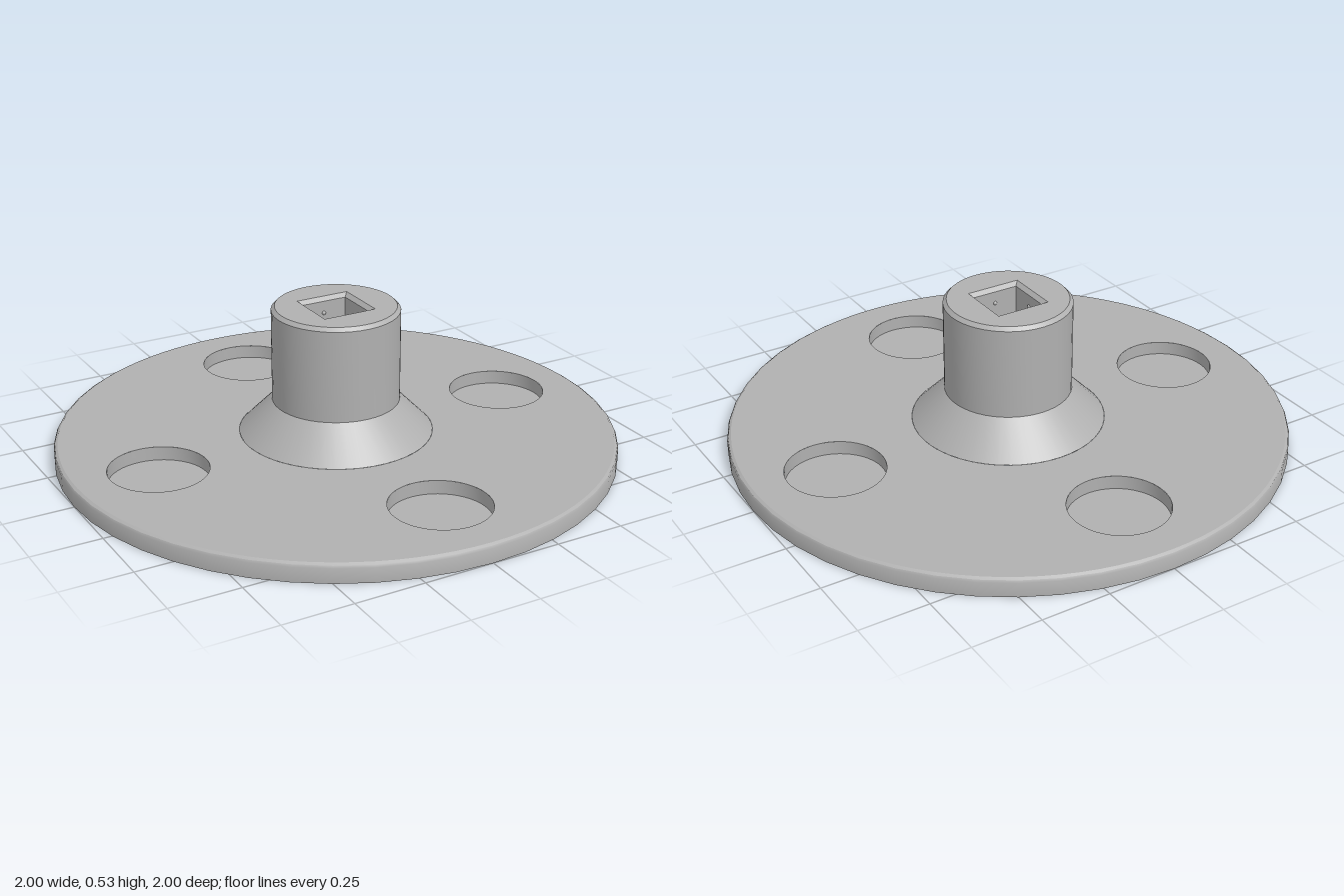
import * as THREE from 'three';
import { toCreasedNormals } from 'three/addons/utils/BufferGeometryUtils.js';

const SEG = 48;
const PLATE_TOP = 0.067, HUB_TOP = 0.533;

// Turned surface with sharp edges; profiles running downwards face the axis
function turned(profile, segments = SEG, start = 0) {
  const points = profile.map(([r, y]) => new THREE.Vector2(r, y));
  return toCreasedNormals(new THREE.LatheGeometry(points, segments, start), 0.5);
}

function circle(Type, r, x = 0, y = 0) {
  const c = new Type();
  c.absarc(x, y, r, 0, Math.PI * 2, false);
  return c;
}

// Flat upward face at height y
function flatFace(outer, holes, y) {
  outer.holes = holes;
  return new THREE.ShapeGeometry(outer, SEG).rotateX(-Math.PI / 2).translate(0, y, 0);
}

export function createModel() {
  const group = new THREE.Group();
  const grey = new THREE.MeshStandardMaterial({ color: 0xb0b0b0 });
  grey.name = 'grey';
  const add = (name, geometry, x = 0, y = 0, z = 0) => {
    const mesh = new THREE.Mesh(geometry, grey);
    mesh.name = name;
    mesh.position.set(x, y, z);
    group.add(mesh);
    return mesh;
  };

  // Round base plate: underside and rounded rim
  add('plateRim', turned([[0, 0], [1, 0], [1, 0.053], [0.996, 0.061], [0.986, PLATE_TOP]]));

  // Plate top with four round blind recesses
  const spots = [0, 1, 2, 3].map(i => [
    Math.round(Math.cos(i * Math.PI / 2)) * 0.692,
    Math.round(Math.sin(i * Math.PI / 2)) * 0.692,
  ]);
  const holes = spots.map(([x, y]) => circle(THREE.Path, 0.175, x, y));
  holes.push(circle(THREE.Path, 0.345));
  add('plateTop', flatFace(circle(THREE.Shape, 0.986), holes, PLATE_TOP));
  for (const [x, z] of spots) {
    add('recess', turned([[0.175, PLATE_TOP], [0.175, 0.017], [0, 0.017]]), x, 0, z);
  }

  // Flared foot and cylindrical hub with a bevelled top edge
  add('hub', turned([[0.345, PLATE_TOP], [0.227, 0.187], [0.227, 0.52], [0.214, HUB_TOP]]));

  // Hub top around the square socket
  const square = new THREE.Path();
  square.moveTo(-0.1, -0.1).lineTo(-0.1, 0.1).lineTo(0.1, 0.1).lineTo(0.1, -0.1).closePath();
  add('hubTop', flatFace(circle(THREE.Shape, 0.214), [square], HUB_TOP));

  // Square socket with chamfered mouth
  const d = Math.SQRT2;
  add('socket', turned([
    [0.1 * d, HUB_TOP], [0.086 * d, HUB_TOP - 0.014], [0.086 * d, 0.3], [0, 0.3],
  ], 4, Math.PI / 4));

  // Small detent on each socket wall
  for (let i = 0; i < 4; i++) {
    const a = i * Math.PI / 2;
    add('socketDetent', new THREE.SphereGeometry(0.008, 10, 8),
      Math.cos(a) * 0.088, 0.475, Math.sin(a) * 0.088);
  }
  return group;
}
